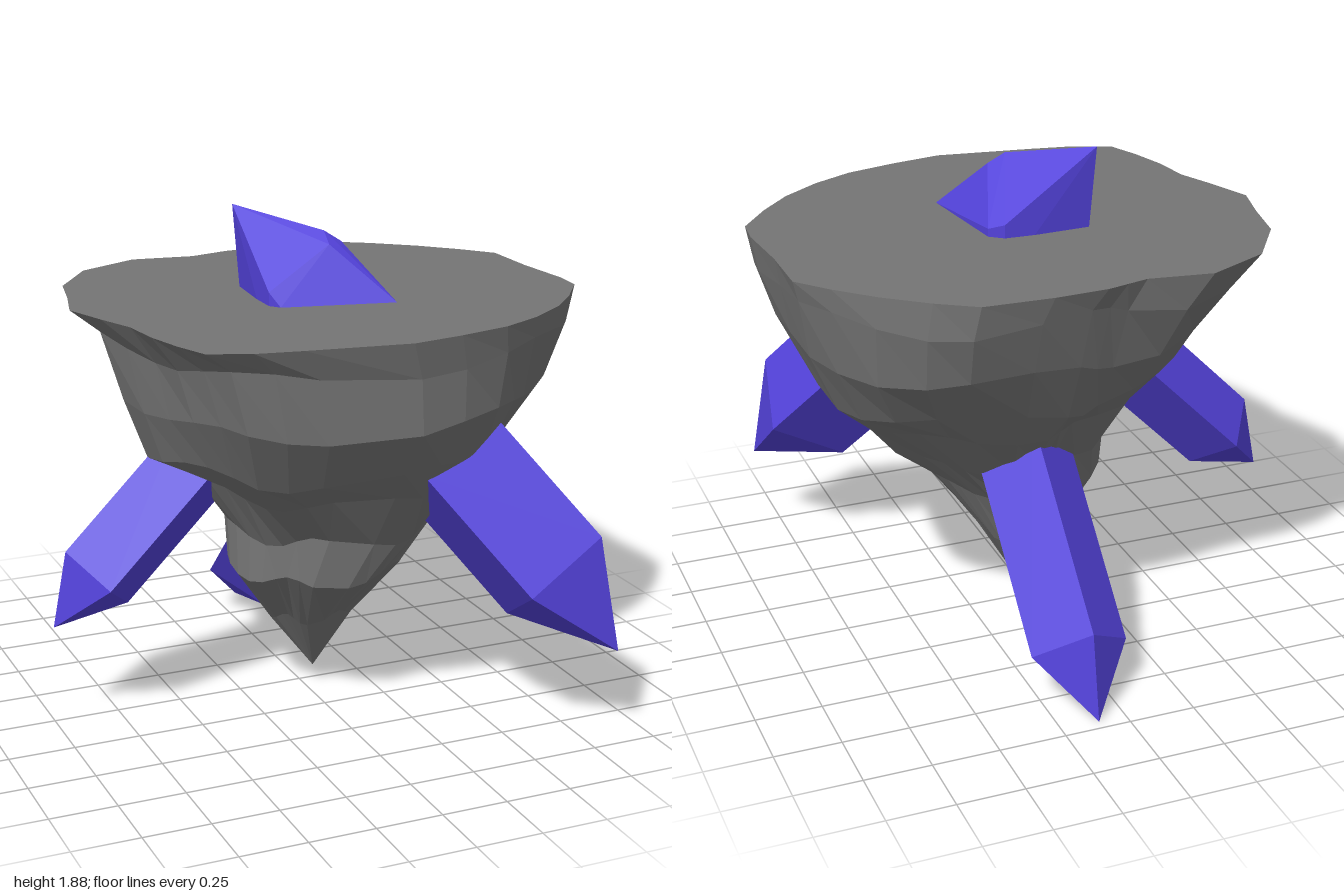
import * as THREE from 'three';
import { ConvexGeometry } from 'three/addons/geometries/ConvexGeometry.js';

const rockMaterial = new THREE.MeshStandardMaterial({ color: 0x757575, flatShading: true });
const crystalMaterial = new THREE.MeshStandardMaterial({ color: 0x5342da, flatShading: true });

// Outline of the flat top (x, z), counter-clockwise from above
const OUTLINE = [
  [0.98, -0.29], [0.88, -0.41], [0.75, -0.54], [0.6, -0.66], [0.46, -0.75], [0.2, -0.76],
  [0, -0.75], [-0.08, -0.73], [-0.16, -0.71], [-0.4, -0.745], [-0.64, -0.63], [-0.79, -0.41],
  [-0.83, -0.22], [-0.88, -0.03], [-0.82, 0.14], [-0.76, 0.29], [-0.74, 0.45], [-0.7, 0.6],
  [-0.65, 0.73], [-0.5, 0.79], [-0.33, 0.82], [0.05, 0.875], [0.25, 0.84], [0.45, 0.79],
  [0.61, 0.71], [0.76, 0.6], [0.88, 0.47], [0.99, 0.32], [1, 0.2], [0.98, -0.05],
];

// Outline positions of the diagonals: back left, back right, front right, front left
const DIAGONALS = [2.5, 10.5, 18, 25.3];

// Rock cross-sections: y, xMin, xMax, zMin, zMax, roundness, height ripple, bulge at each diagonal
const RINGS = [
  [1.57, -0.88, 1, -0.76, 0.875, 0, 0, [0, 0, 0, 0]],
  [1.46, -0.77, 0.98, -0.73, 0.845, 0.15, 0.03, [0.03, 0, 0, 0]],
  [1.24, -0.71, 0.94, -0.66, 0.845, 0.4, 0.025, [0.06, -0.04, 0, -0.11]],
  [1.03, -0.63, 0.84, -0.54, 0.72, 0.6, 0.03, [0.04, -0.06, -0.04, -0.15]],
  [0.9, -0.44, 0.69, -0.43, 0.6, 0.7, 0.025, [0.03, -0.04, -0.04, -0.15]],
  [0.71, -0.32, 0.53, -0.28, 0.47, 0.8, 0.025, [0, 0, -0.1, -0.12]],
  [0.55, -0.32, 0.36, -0.2, 0.43, 0.8, 0.02, [0, 0, -0.12, -0.05]],
  [0.32, -0.14, 0.19, -0.12, 0.19, 0.9, 0.02, [0, 0, 0, 0]],
  [0.07, 0.04, 0.04, 0.04, 0.04, 1, 0, [0, 0, 0, 0]],
];

function ringPoints([y, x0, x1, z0, z1, roundness, ripple, bulges], level) {
  return OUTLINE.map(([x, z], i) => {
    const p = new THREE.Vector2((x - 0.06) / 0.94, (z - 0.0575) / 0.8175);
    p.lerp(p.clone().normalize(), roundness);
    const swell = (sum, b, d) => sum + b * Math.exp(-(((i - DIAGONALS[d]) / 2.1) ** 2));
    p.multiplyScalar(bulges.reduce(swell, 1));
    const a = (i / OUTLINE.length) * Math.PI * 2;
    return new THREE.Vector3(
      (x0 + x1) / 2 + (p.x * (x1 - x0)) / 2,
      y + ripple * Math.sin(a * 5 + level * 1.3),
      (z0 + z1) / 2 + (p.y * (z1 - z0)) / 2,
    );
  });
}

function rockGeometry() {
  const rings = RINGS.map(ringPoints);
  const n = OUTLINE.length;
  const last = rings.length - 2;
  const triangles = [];
  const centre = new THREE.Vector3(0.06, RINGS[0][0], 0.06);
  for (let i = 0; i < n; i++) {
    const j = (i + 1) % n;
    triangles.push(centre, rings[0][i], rings[0][j]);
    for (let k = 0; k <= last; k++) {
      const [a, b] = [rings[k], rings[k + 1]];
      triangles.push(a[i], b[j], a[j]);
      if (k < last) triangles.push(a[i], b[i], b[j]);
    }
  }
  const geometry = new THREE.BufferGeometry().setFromPoints(triangles);
  geometry.computeVertexNormals();
  return geometry;
}

// Faceted crystal: outer tip points, shoulder corners, and the run into the rock
function crystalGeometry(tips, corners, run) {
  const r = new THREE.Vector3(...run);
  const shoulder = corners.map((c) => new THREE.Vector3(...c));
  const inner = shoulder.map((c) => c.clone().add(r));
  return new ConvexGeometry([...tips.map((t) => new THREE.Vector3(...t)), ...shoulder, ...inner]);
}

export function createModel() {
  const group = new THREE.Group();
  const add = (name, geometry, material) => {
    const mesh = new THREE.Mesh(geometry, material);
    mesh.name = name;
    group.add(mesh);
  };

  add('floatingRock', rockGeometry(), rockMaterial);

  add('frontCrystal', crystalGeometry([[0.855, 0.35, 0.96]],
    [[0.5, 0.6, 0.94], [0.8, 0.78, 0.9], [0.855, 0.6, 0.61], [0.56, 0.43, 0.65]],
    [-0.29, 0.41, -0.3]), crystalMaterial);

  add('rightCrystal', crystalGeometry([[-1, 0.39, 0.03]],
    [[-0.945, 0.68, 0.03], [-0.83, 0.565, 0.2], [-0.71, 0.445, 0.03], [-0.83, 0.565, -0.14]],
    [0.45, 0.45, 0]), crystalMaterial);

  add('backCrystal', crystalGeometry([[0.105, 0, -0.96]],
    [[0.105, 0.325, -0.9], [0.29, 0.2, -0.77], [0.105, 0.065, -0.635], [-0.08, 0.2, -0.77]],
    [0, 0.6, 0.6]), crystalMaterial);

  // Top crystal, with a small chip on its upper ridge
  add('topCrystal', crystalGeometry(
    [[-0.2, 1.88, -0.165], [0.055, 1.81, 0.1], [0.115, 1.77, 0.12], [0.1, 1.755, 0.16], [0.05, 1.77, 0.16]],
    [[0.25, 1.57, 0.32], [0.2, 1.6, -0.11], [0.15, 1.62, -0.15], [-0.2, 1.62, 0.19],
      [-0.17, 1.57, 0.23], [-0.17, 1.57, -0.13]],
    [0, -0.2, 0]), crystalMaterial);

  return group;
}
